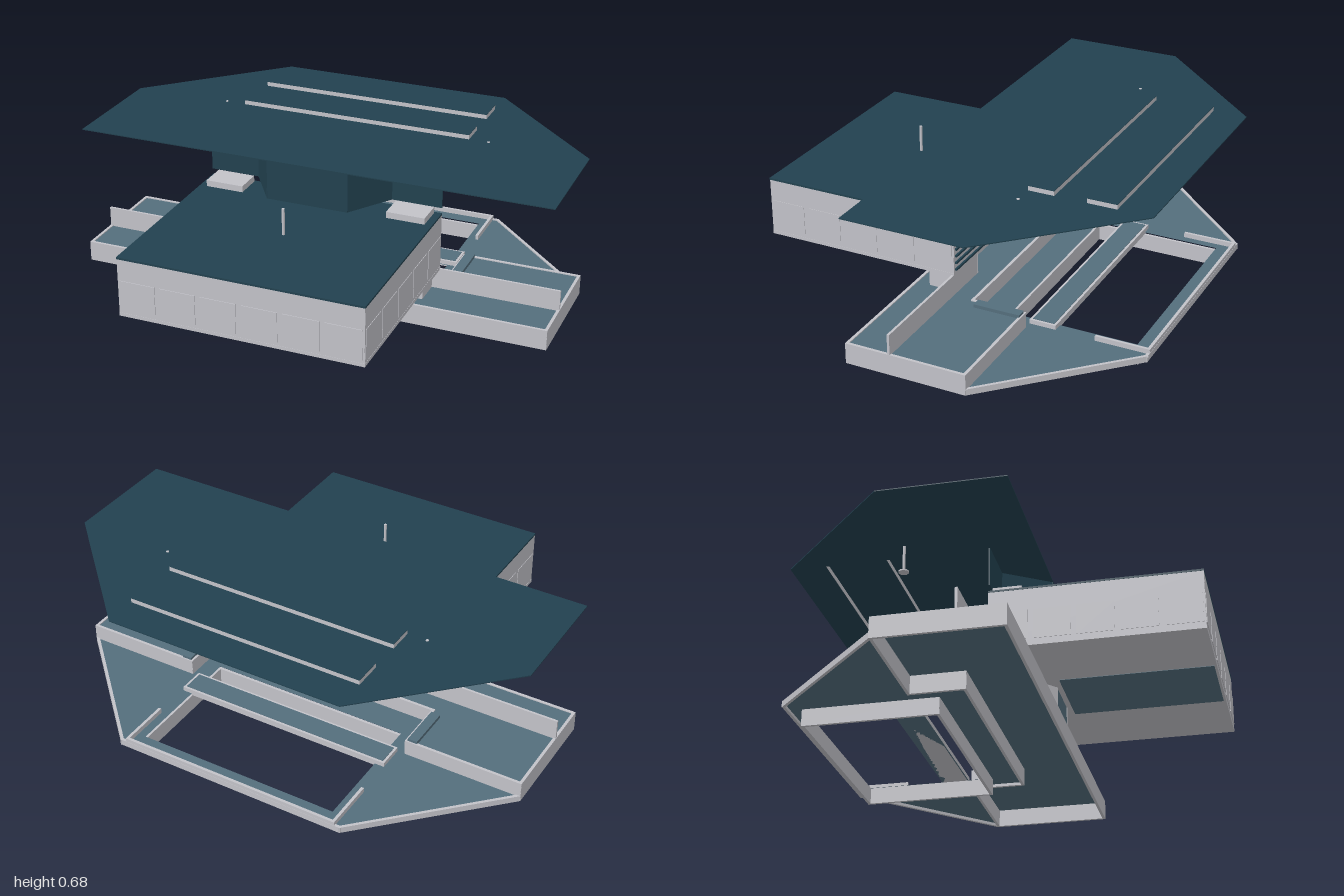
import * as THREE from 'three';

const mat = (name, color, side = THREE.FrontSide) => {
  const m = new THREE.MeshStandardMaterial({ color, side });
  m.name = name;
  return m;
};

export function createModel() {
  const model = new THREE.Group();
  model.name = 'building';
  const grey = mat('concrete grey', 0xc2c2c8);
  const teal = mat('roof teal', 0x22414f);
  const slate = mat('floor slate', 0x546e7c);

  const add = (name, geo, m, parent = model) => {
    const mesh = new THREE.Mesh(geo, m);
    mesh.name = name;
    parent.add(mesh);
    return mesh;
  };
  // box given by its limits on each axis
  const box = (name, m, x0, x1, y0, y1, z0, z1, parent) => {
    const b = add(name, new THREE.BoxGeometry(x1 - x0, y1 - y0, z1 - z0), m, parent);
    b.position.set((x0 + x1) / 2, (y0 + y1) / 2, (z0 + z1) / 2);
    return b;
  };
  // flat slab from an x,z outline; holes are [x0, x1, z0, z1]
  const slab = (name, m, pts, top, t, holes = []) => {
    const s = new THREE.Shape(pts.map(([x, z]) => new THREE.Vector2(x, z)));
    for (const [x0, x1, z0, z1] of holes) {
      s.holes.push(new THREE.Path([[x0, z0], [x0, z1], [x1, z1], [x1, z0]].map((p) => new THREE.Vector2(...p))));
    }
    const g = new THREE.ExtrudeGeometry(s, { depth: t, bevelEnabled: false });
    g.rotateX(Math.PI / 2);
    return add(name, g, m).position.setY(top);
  };
  // upright thin walls following an x,z path
  const walls = (name, m, pts, y0, y1, t = 0.012, closed = false) => {
    const g = new THREE.Group();
    g.name = name;
    model.add(g);
    const n = closed ? pts.length : pts.length - 1;
    for (let i = 0; i < n; i++) {
      const [ax, az] = pts[i], [bx, bz] = pts[(i + 1) % pts.length];
      const w = add(name + 'Panel', new THREE.BoxGeometry(Math.hypot(bx - ax, bz - az) + t * 0.9, y1 - y0, t), m, g);
      w.position.set((ax + bx) / 2, (y0 + y1) / 2, (az + bz) / 2);
      w.rotation.y = -Math.atan2(bz - az, bx - ax);
    }
  };
  const rect = (x, z0, z1) => [[-x, z0], [x, z0], [x, z1], [-x, z1]];

  // open basin under the rear floor
  walls('basin', grey, rect(0.434, -0.754, -0.216), 0, 0.07, 0.012, true);

  // low rear floor with light wells
  slab('rearFloor', slate,
    [[0.995, -0.32], [0.5, -0.815], [-0.5, -0.815], [-0.995, -0.32], [-0.5, -0.32], [-0.5, -0.1], [0.5, -0.1], [0.5, -0.32]],
    0.08, 0.008, [[-0.43, 0.43, -0.315, -0.22], [-0.43, 0.43, -0.75, -0.43]]);
  walls('rearCurb', grey, [[0.99, -0.32], [0.497, -0.813], [-0.497, -0.813], [-0.99, -0.32]], 0.06, 0.085);
  walls('wellCurb', grey, [[0.47, -0.6], [0.47, -0.812], [-0.47, -0.812], [-0.47, -0.6]], 0.08, 0.1);
  box('bridge', grey, -0.47, 0.47, 0.072, 0.098, -0.43, -0.32);
  box('bridgeDeck', slate, -0.46, 0.46, 0.098, 0.1, -0.42, -0.33);

  // raised terrace, notched at the rear
  const terrace = [[-0.994, 0.174], [0.994, 0.174], [0.994, -0.314], [0.506, -0.314],
    [0.506, -0.094], [-0.506, -0.094], [-0.506, -0.314], [-0.994, -0.314]];
  slab('terraceFloor', slate, terrace, 0.141, 0.006);
  walls('terraceWall', grey, terrace, 0.06, 0.145, 0.012, true);
  for (const s of [-1, 1]) {
    box('notchCurb', slate, s * 0.53 - 0.02, s * 0.53 + 0.02, 0.141, 0.155, -0.314, -0.12);
  }

  // ground storey wall with a projecting bay and door
  for (const s of [-1, 1]) {
    walls('groundWall', grey, [[s * 0.994, -0.004], [s * 0.3, -0.004], [s * 0.1, 0.174]], 0.14, 0.228, 0.01);
    box('lowerStair', grey, s * 0.39 - 0.08, s * 0.39 + 0.08, 0.141, 0.225, 0, 0.115);
  }
  box('door', slate, -0.1, 0.1, 0.141, 0.225, 0.168, 0.178);

  // projecting upper storey
  box('upperFloor', grey, -0.5, 0.5, 0.222, 0.236, -0.01, 0.82);
  box('upperSoffit', slate, -0.17, 0.17, 0.22, 0.222, 0.2, 0.81);
  walls('upperWall', grey, rect(0.493, -0.004, 0.813), 0.236, 0.462, 0.012, true);
  box('upperRoof', teal, -0.5, 0.5, 0.462, 0.47, -0.01, 0.82);

  // window panels on the front and both sides
  for (let i = 0; i < 6; i++) {
    const x = -0.417 + i * 0.1668;
    box('frontWindow', grey, x - 0.073, x + 0.073, 0.25, 0.373, 0.818, 0.822);
  }
  for (const s of [-1, 1]) {
    for (let i = 0; i < 5; i++) {
      const z = 0.738 - i * 0.1668;
      box('sideWindow', grey, s * 0.499 - 0.002, s * 0.499 + 0.002, 0.25, 0.373, z - 0.073, z + 0.073);
    }
  }
  // louvres across the back
  for (let i = 0; i < 4; i++) {
    box('rearLouvre', teal, -0.49, 0.49, 0.246 + i * 0.029, 0.254 + i * 0.029, -0.018, -0.008);
  }

  // top storey wall with its bay, and stair heads
  walls('topWall', teal, [[-0.498, -0.006], [-0.29, -0.006], [-0.17, 0.176], [0.17, 0.176], [0.29, -0.006], [0.498, -0.006]],
    0.495, 0.658, 0.006);
  for (const s of [-1, 1]) {
    box('stairHead', grey, s * 0.39 - 0.08, s * 0.39 + 0.08, 0.465, 0.496, 0, 0.115);
  }

  // main roof with two raised skylights
  const lights = [[-0.43, -0.325], [-0.68, -0.56]];
  slab('mainRoof', teal, [[-1, 0.18], [1, 0.18], [1, -0.32], [0.5, -0.82], [-0.5, -0.82], [-1, -0.32]],
    0.662, 0.004, lights.map(([a, b]) => [-0.494, 0.494, a + 0.006, b - 0.006]));
  for (const [a, b] of lights) {
    walls('skylightRim', grey, rect(0.497, a + 0.003, b - 0.003), 0.66, 0.68, 0.006, true);
    box('skylightLid', teal, -0.5, 0.5, 0.68, 0.682, a, b);
  }

  // hanging lamps and the mast
  const rod = (name, r, x, y0, y1, z) =>
    add(name, new THREE.CylinderGeometry(r, r, y1 - y0, 10), grey).position.set(x, (y0 + y1) / 2, z);
  for (const s of [-1, 1]) {
    rod('lampRod', 0.006, s * 0.583, 0.545, 0.665, -0.325);
    rod('lampDisc', 0.021, s * 0.583, 0.543, 0.549, -0.325);
  }
  rod('mast', 0.006, 0, 0.47, 0.58, 0.405);

  return model;
}
